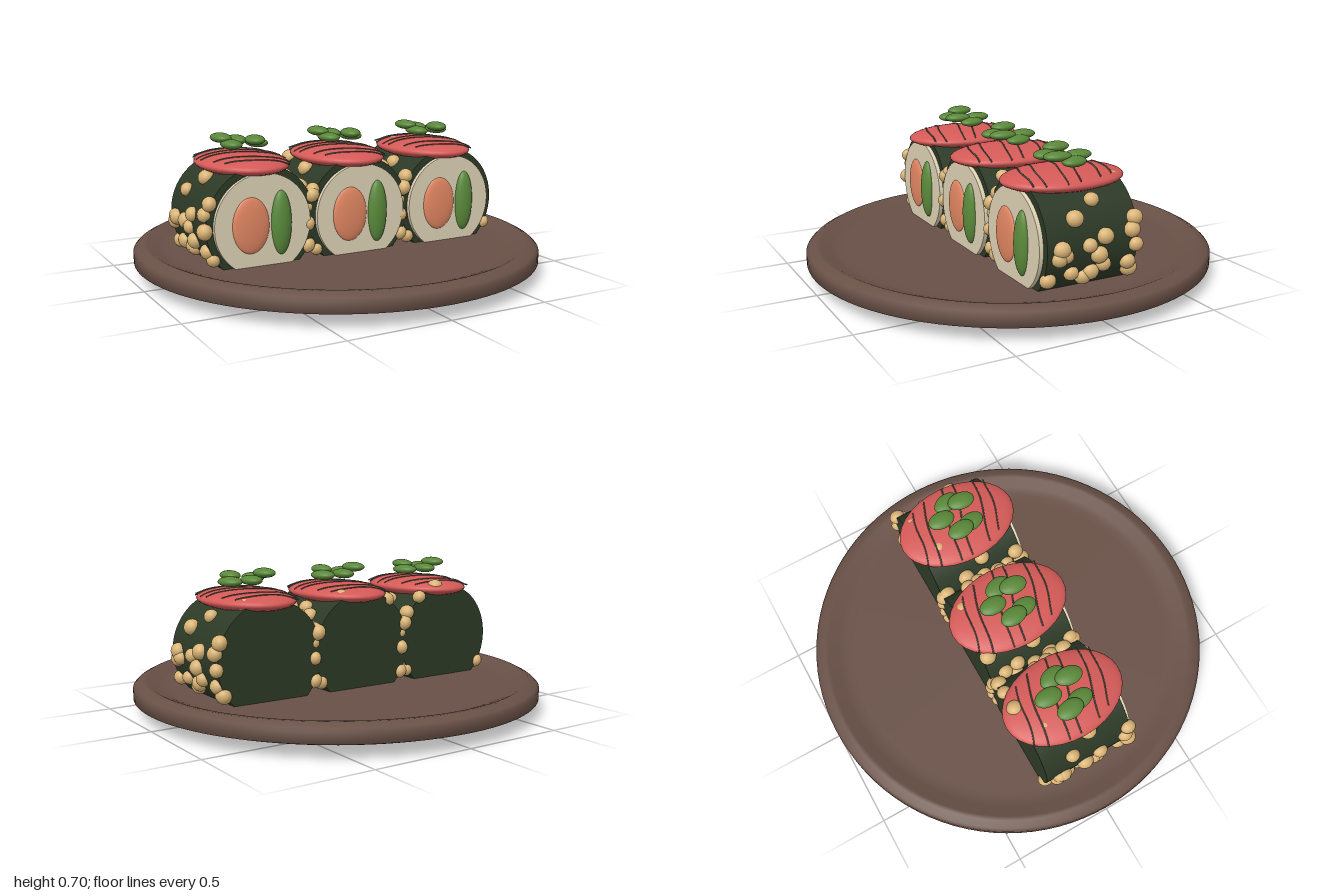
import * as THREE from 'three';

const mat = (name, color) => {
  const m = new THREE.MeshStandardMaterial({ color });
  m.name = name;
  return m;
};

export function createModel() {
  const brown = mat('plate brown', 0x685046);
  const seaweed = mat('seaweed green', 0x2d3a27);
  const riceMat = mat('rice cream', 0xe0d4b6);
  const orange = mat('filling orange', 0xe4886399 >>> 8);
  const cucumberMat = mat('cucumber green', 0x5a8a3b);
  const red = mat('fish red', 0xd45a57);
  const leafMat = mat('leaf green', 0x598738);
  const tan = mat('seed tan', 0xdab476);
  const sauceMat = mat('sauce grey', 0x5e5a4c);

  const group = new THREE.Group();
  const add = (parent, name, geo, material, pos = [0, 0, 0], scale = [1, 1, 1]) => {
    const mesh = new THREE.Mesh(geo, material);
    mesh.name = name;
    mesh.position.set(...pos);
    mesh.scale.set(...scale);
    parent.add(mesh);
    return mesh;
  };

  // Plate: turned profile with a soft rim and a sunken floor
  const profile = [
    [0, 0], [0.66, 0], [0.7, 0.002], [0.72, 0.007], [0.97, 0.058], [1, 0.068],
    [1, 0.118], [0.985, 0.132], [0.95, 0.15], [0.93, 0.149], [0.88, 0.128], [0.84, 0.121],
    [0.8, 0.12], [0, 0.118],
  ].map(([x, y]) => new THREE.Vector2(x, y));
  add(group, 'plate', new THREE.LatheGeometry(profile, 96), brown);

  // Shared shapes
  const R = 0.27, CY = 0.31, seedR = 0.273;
  const ball = new THREE.SphereGeometry(1, 32, 20);
  const seedBall = new THREE.SphereGeometry(1, 14, 10);
  const wrapGeo = new THREE.CylinderGeometry(R, R, 0.46, 64).rotateX(Math.PI / 2);
  const riceGeo = new THREE.CylinderGeometry(0.237, 0.237, 0.46, 64).rotateX(Math.PI / 2);

  // Seeds on one flank, as [z, height]
  const flank = [
    [0.08, 0.44], [-0.03, 0.5], [-0.2, 0.36], [-0.06, 0.35], [0.02, 0.32], [0.16, 0.32],
    [0.17, 0.28], [0.14, 0.29], [-0.03, 0.27], [-0.06, 0.22], [-0.19, 0.21], [0, 0.19],
    [0.1, 0.2], [0.03, 0.17], [-0.22, 0.41], [-0.22, 0.29], [-0.21, 0.17], [0.21, 0.18],
  ];
  // Seeds on the upper side of each roll, as [x, z]
  const uppers = [
    [[-0.08, -0.14], [0.06, -0.22], [0.16, -0.22], [0.23, -0.21], [0.21, 0.04],
      [0.25, -0.1], [0.235, 0.15], [0.25, 0]],
    [[-0.16, -0.2], [0.1, -0.19], [-0.24, -0.15], [-0.25, 0.09], [-0.24, 0.21],
      [0.22, -0.1], [0.21, 0.08], [0.19, 0.13], [0.23, -0.04]],
    [[-0.08, -0.14], [0.11, -0.19], [-0.23, 0.2], [-0.25, 0.01], [-0.25, 0.14], [-0.25, -0.2]],
  ];
  // Leaves, as [x, y, z, turn]
  const leaves = [
    [-0.09, 0.68, -0.02, 0.1], [-0.065, 0.655, 0.045, 0.15], [0.01, 0.657, -0.075, 0],
    [0.085, 0.648, -0.01, 0.3], [0.05, 0.67, 0.055, -0.1],
  ];
  const fishY = 0.563, fishSize = [0.208, 0.05, 0.3];

  // Thin sauce lines, half sunk into the curved top of the fish
  const sauceLine = (z0, i) => {
    const half = 0.94 * fishSize[0] * Math.sqrt(1 - (z0 / fishSize[2]) ** 2);
    const pts = [];
    for (let k = 0; k <= 10; k++) {
      const x = -half + (2 * half * k) / 10;
      const z = z0 + x * 0.24 + 0.008 * Math.sin(k * 0.6 + i);
      const f = 1 - (x / fishSize[0]) ** 2 - (z / fishSize[2]) ** 2;
      pts.push(new THREE.Vector3(x, fishY + 0.001 + fishSize[1] * Math.sqrt(Math.max(f, 0.03)), z));
    }
    return new THREE.TubeGeometry(new THREE.CatmullRomCurve3(pts), 30, 0.0036, 6);
  };
  const lines = [-0.2, -0.14, -0.035, 0.03, 0.14, 0.2].map(sauceLine);

  [-0.51, 0, 0.51].forEach((x, n) => {
    const roll = new THREE.Group();
    roll.name = 'roll' + (n + 1);
    roll.position.x = x;
    group.add(roll);

    // Wrap, rice and fillings
    add(roll, 'wrap', wrapGeo, seaweed, [0, CY, 0]);
    add(roll, 'rice', riceGeo, riceMat, [0, CY, 0.02]);
    add(roll, 'orangeFilling', ball, orange, [-0.062, 0.312, 0.25], [0.09, 0.13, 0.02]);
    add(roll, 'cucumber', ball, cucumberMat, [0.088, 0.312, 0.25], [0.05, 0.15, 0.036]);

    // Fish slice with sauce
    add(roll, 'fishSlice', ball, red, [0, fishY, 0], fishSize);
    lines.forEach((geo) => add(roll, 'sauceLine', geo, sauceMat));

    // Leaves
    for (const [lx, ly, lz, turn] of leaves) {
      const leaf = add(roll, 'leaf', ball, leafMat, [lx, ly, lz], [0.045, 0.023, 0.067]);
      leaf.rotation.set(0, turn, -turn * 0.2);
    }

    // Seeds pressed into the wrap
    const seed = (a, z, i) => {
      const s = 0.036 + 0.003 * Math.sin(i * 2.3 + n);
      const m = add(roll, 'seed', seedBall, tan,
        [seedR * Math.cos(a), CY + seedR * Math.sin(a), z], [s * 0.92, s, s * 1.08]);
      m.rotation.z = a;
    };
    flank.forEach(([z, y], i) => {
      const a = Math.asin((y - CY) / seedR);
      seed(a, z, i);
      seed(Math.PI - a - 0.06 * Math.sin(i + n), -z, i + 5);
    });
    uppers[n].forEach(([ux, z], i) => seed(Math.acos(ux / seedR), z, i));
  });

  return group;
}
